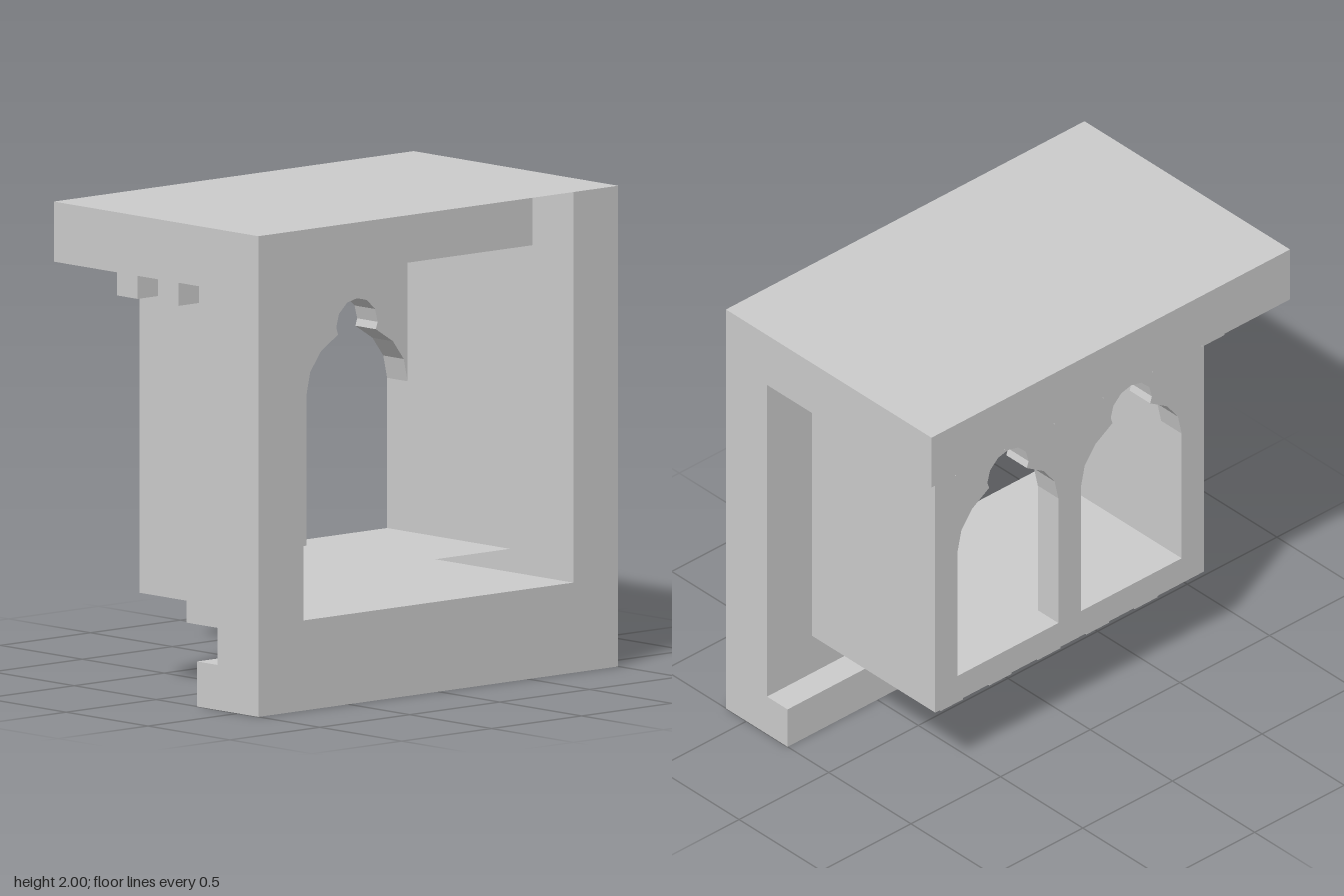
import * as THREE from 'three';

const grey = new THREE.MeshStandardMaterial({ color: 0xcccccc, flatShading: true });
const greyThin = new THREE.MeshStandardMaterial({ color: 0xcccccc, flatShading: true, side: THREE.DoubleSide });

export function createModel() {
  const model = new THREE.Group();
  model.name = 'bayWindow';

  // Box given by its min and max on each axis
  const box = (name, x0, x1, y0, y1, z0, z1) => {
    const mesh = new THREE.Mesh(new THREE.BoxGeometry(x1 - x0, y1 - y0, z1 - z0), grey);
    mesh.position.set((x0 + x1) / 2, (y0 + y1) / 2, (z0 + z1) / 2);
    mesh.name = name;
    model.add(mesh);
  };

  // Thin upright panel facing sideways (dir = +1 or -1)
  const sidePanel = (name, x, dir, y0, y1, z0, z1) => {
    const geo = new THREE.PlaneGeometry(z1 - z0, y1 - y0).rotateY(dir * Math.PI / 2);
    const mesh = new THREE.Mesh(geo, greyThin);
    mesh.position.set(x, (y0 + y1) / 2, (z0 + z1) / 2);
    mesh.name = name;
    model.add(mesh);
  };

  // Thin level panel centred on x, facing up or down
  const levelPanel = (name, halfWidth, y, z0, z1, up) => {
    const geo = new THREE.PlaneGeometry(halfWidth * 2, z1 - z0).rotateX(up ? -Math.PI / 2 : Math.PI / 2);
    const mesh = new THREE.Mesh(geo, greyThin);
    mesh.position.set(0, y, (z0 + z1) / 2);
    mesh.name = name;
    model.add(mesh);
  };

  // Front frame: sill, foot ledge, posts and the thin cover above the opening
  box('sill', -0.75, 0.75, 0, 0.375, 0.375, 0.625);
  box('footLedge', -1, 1, 0, 0.1875, 0.25, 0.375);
  box('leftPost', 0.75, 1, 0, 2, 0.375, 0.625);
  box('rightPost', -1, -0.75, 0, 2, 0.375, 0.625);
  levelPanel('frameCover', 0.75, 2, 0.375, 0.625, true);

  // Roof slab
  box('roof', -1, 1, 1.75, 2, -0.625, 0.375);

  // Bay shell: outer and inner skins, open towards the frame
  for (const s of [1, -1]) {
    const side = s > 0 ? 'left' : 'right';
    sidePanel(side + 'OuterWall', 0.75 * s, s, 0.375, 1.75, -0.375, 0.375);
    sidePanel(side + 'InnerWall', 0.625 * s, -s, 0.5, 1.75, -0.25, 0.375);
  }
  levelPanel('bayUnderside', 0.75, 0.375, -0.375, 0.375, false);
  levelPanel('bayFloor', 0.625, 0.5, -0.25, 0.375, true);

  // Back wall with two lobed arch windows
  const wall = new THREE.Shape([
    [-0.75, 0.375], [0.75, 0.375], [0.75, 1.75], [-0.75, 1.75],
  ].map(([x, y]) => new THREE.Vector2(x, y)));
  const halfArch = [
    [0.281, 0.5], [0.281, 1.125], [0.26, 1.22], [0.2, 1.3], [0.105, 1.36],
    [0.115, 1.39], [0.1, 1.445], [0.055, 1.487],
  ];
  const arch = [
    ...halfArch, [0, 1.5],
    ...halfArch.map(([u, y]) => [-u, y]).reverse(),
  ];
  for (const cx of [-0.344, 0.344]) {
    wall.holes.push(new THREE.Path(arch.map(([u, y]) => new THREE.Vector2(cx + u, y))));
  }
  const backWall = new THREE.Mesh(
    new THREE.ExtrudeGeometry(wall, { depth: 0.125, bevelEnabled: false }), grey);
  backWall.position.z = -0.375;
  backWall.name = 'backWall';
  model.add(backWall);

  // Floor beams under the bay
  for (let i = -2; i <= 2; i++) {
    const x = i * 0.271;
    box('floorBeam', x - 0.0625, x + 0.0625, 0.25, 0.375, -0.25, 0.375);
  }

  // Dentils under the roof: six along the back, three on each side
  for (let i = 0; i < 6; i++) {
    const x = -0.75 + i * 0.275;
    box('backDentil', x, x + 0.125, 1.625, 1.75, -0.5, -0.375);
  }
  for (const z of [0.125, -0.125, -0.375]) {
    box('leftDentil', 0.75, 0.875, 1.625, 1.75, z, z + 0.125);
    box('rightDentil', -0.875, -0.75, 1.625, 1.75, z, z + 0.125);
  }

  return model;
}
